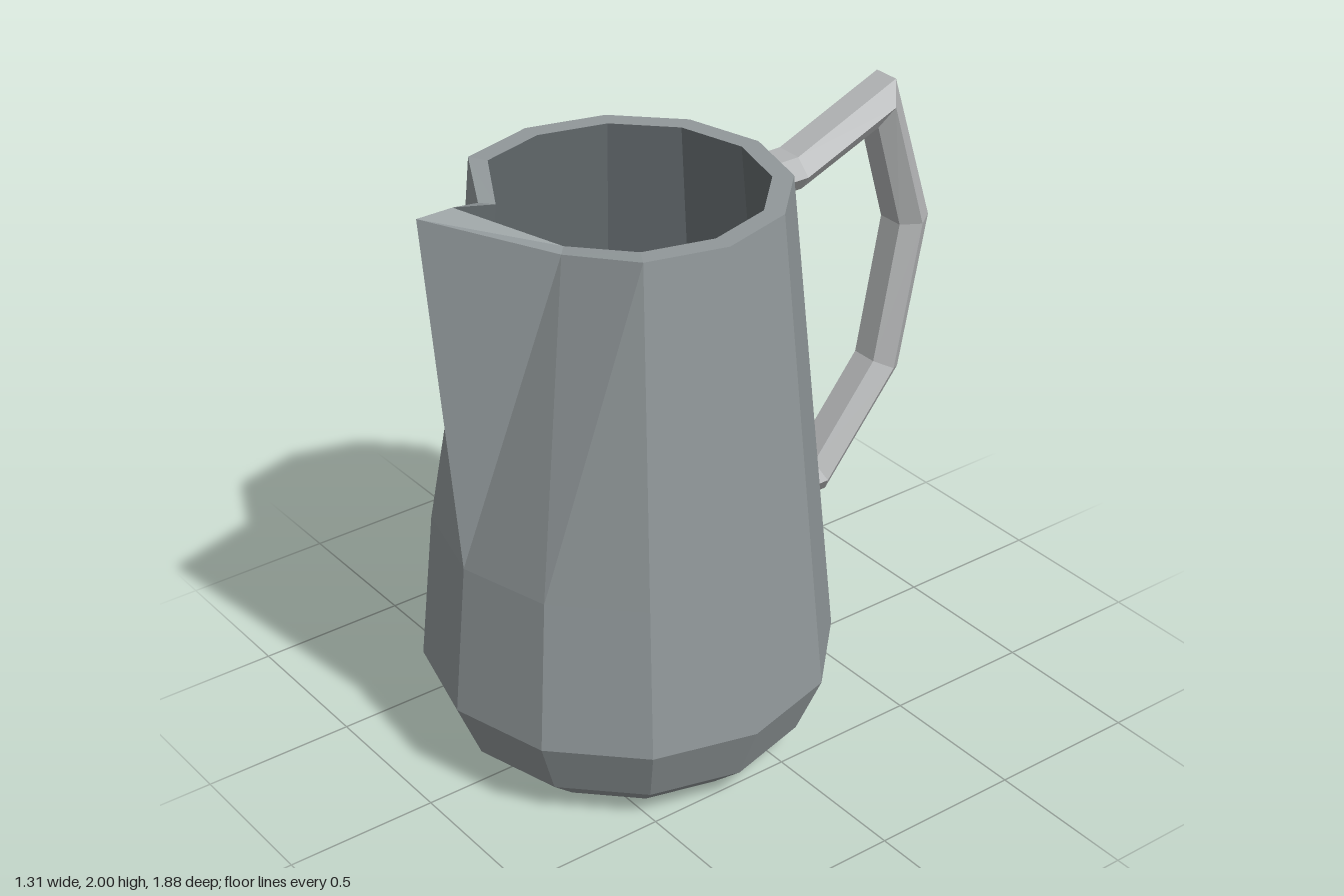
import * as THREE from 'three';

const paint = (color) => new THREE.MeshStandardMaterial({ color, flatShading: true });
const bodyPaint = paint(0x91989a);
const insidePaint = paint(0x656c6f);
const handlePaint = paint(0xb3b5b6);

// Skins a list of closed rings of Vector3, with optional caps.
// flip(ring, side) picks the other diagonal for a quad.
function loft(name, material, rings, { capStart = true, capEnd = true, flip = () => false } = {}) {
  const pos = [];
  const tri = (...pts) => pts.forEach((p) => pos.push(p.x, p.y, p.z));
  const centre = (ring) =>
    ring.reduce((sum, p) => sum.add(p), new THREE.Vector3()).divideScalar(ring.length);
  const n = rings[0].length;
  const first = rings[0];
  const last = rings[rings.length - 1];

  for (let j = 0; j < n; j++) {
    const k = (j + 1) % n;
    if (capStart) tri(centre(first), first[k], first[j]);
    for (let i = 0; i < rings.length - 1; i++) {
      const a = rings[i], b = rings[i + 1];
      if (flip(i, j)) {
        tri(a[j], a[k], b[j]);
        tri(a[k], b[k], b[j]);
      } else {
        tri(a[j], a[k], b[k]);
        tri(a[j], b[k], b[j]);
      }
    }
    if (capEnd) tri(last[j], last[k], centre(last));
  }

  const geometry = new THREE.BufferGeometry();
  geometry.setAttribute('position', new THREE.Float32BufferAttribute(pos, 3));
  geometry.computeVertexNormals();
  const mesh = new THREE.Mesh(geometry, material);
  mesh.name = name;
  return mesh;
}

// Twelve-sided ring of the body; the first vertex faces the front
const SIDES = 12;
const BODY_Z = 0.23;
function bodyRing(radius, y) {
  return Array.from({ length: SIDES }, (_, j) => {
    const a = (j / SIDES) * Math.PI * 2;
    return new THREE.Vector3(Math.sin(a) * radius, y, Math.cos(a) * radius + BODY_Z);
  });
}

// Rim ring with the front pulled out into a spout and its neighbours pinched in
function rimRing(radius, tipZ, pinchX, pinchZ) {
  const ring = bodyRing(radius, 1.9);
  ring[0].set(0, 2, tipZ);
  ring[1].set(pinchX, 1.87, pinchZ);
  ring[SIDES - 1].set(-pinchX, 1.87, pinchZ);
  return ring;
}

const innerRim = rimRing(0.44, 0.82, 0.17, 0.565);

// Outer wall, bottom to rim; the flipped quad keeps the spout folds symmetrical
function createBody() {
  const rings = [
    bodyRing(0.45, 0),
    bodyRing(0.575, 0.11),
    bodyRing(0.657, 0.305),
    bodyRing(0.609, 0.805),
    rimRing(0.505, 0.94, 0.21, 0.6),
    innerRim,
  ];
  return loft('body', bodyPaint, rings, {
    capEnd: false,
    flip: (i, j) => i === 3 && j === SIDES - 1,
  });
}

// Inner wall and floor
function createInside() {
  const rings = [innerRim, bodyRing(0.55, 0.805), bodyRing(0.595, 0.32), bodyRing(0.555, 0.15)];
  return loft('inside', insidePaint, rings, {
    capStart: false,
    flip: (i, j) => i === 0 && j === 0,
  });
}

function createHandle() {
  // outer and inner edge of each joint: [outerZ, outerY, innerZ, innerY]
  const joints = [
    [-0.262, 1.83, -0.272, 1.72],
    [-0.395, 1.83, -0.41, 1.72],
    [-0.78, 1.987, -0.715, 1.84],
    [-0.94, 1.48, -0.82, 1.475],
    [-0.835, 0.96, -0.73, 1.01],
    [-0.54, 0.6, -0.49, 0.715],
    [-0.395, 0.6, -0.367, 0.715],
  ];
  // flattened hexagon: x and the blend from outer to inner edge
  const hexagon = [[-0.045, 0], [0.045, 0], [0.087, 0.5], [0.045, 1], [-0.045, 1], [-0.087, 0.5]];
  const rings = joints.map(([oz, oy, iz, iy]) =>
    hexagon.map(([x, t]) => new THREE.Vector3(x, oy + (iy - oy) * t, oz + (iz - oz) * t)));
  return loft('handle', handlePaint, rings);
}

export function createModel() {
  const group = new THREE.Group();
  group.name = 'pitcher';
  group.add(createBody(), createInside(), createHandle());
  return group;
}
